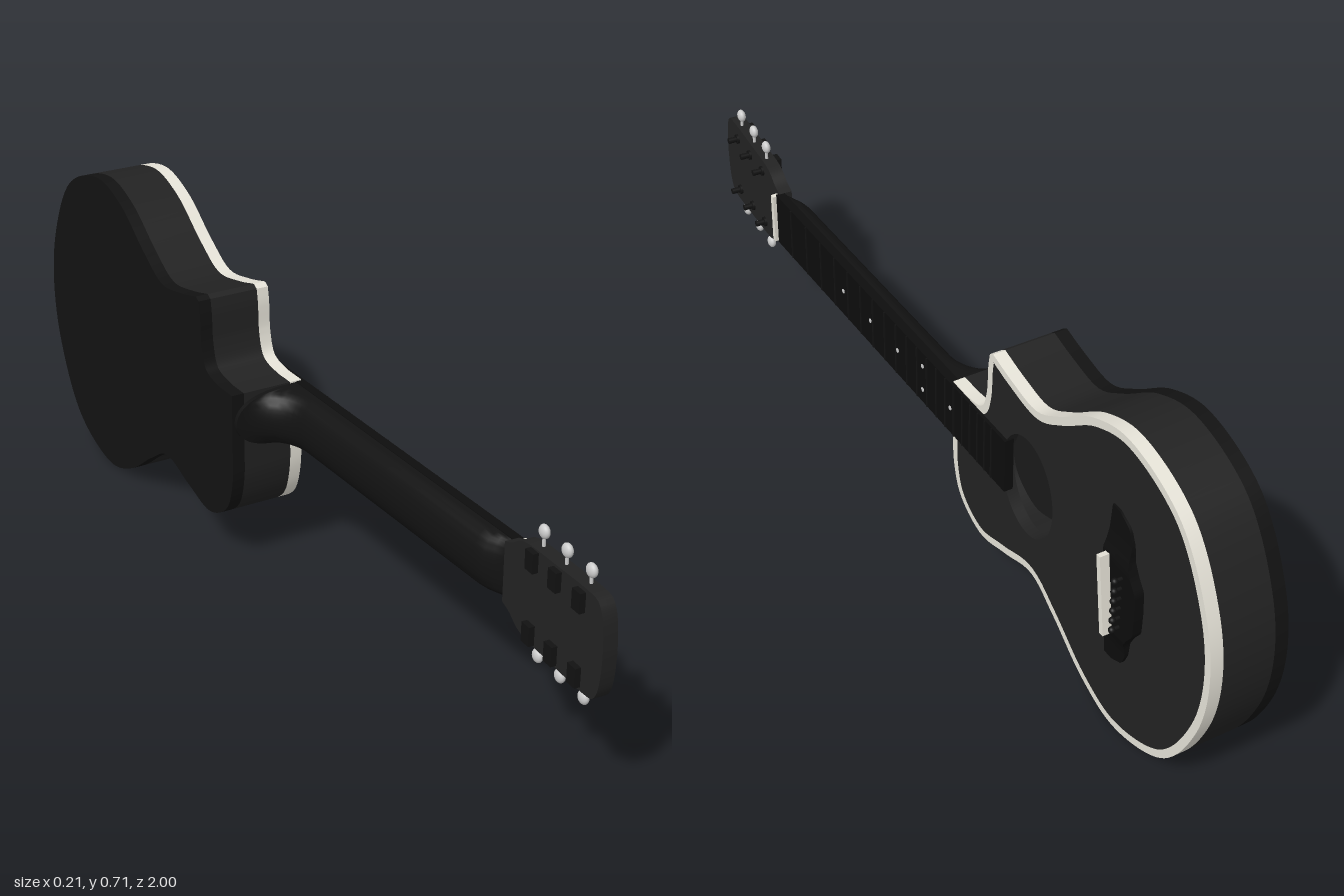
import * as THREE from 'three';
import { toCreasedNormals } from 'three/addons/utils/BufferGeometryUtils.js';

const MID = 0.355; // height of the centre line
const mat = (color, side = THREE.FrontSide) => new THREE.MeshStandardMaterial({ color, side });
const black = mat(0x222222), trim = mat(0x121212), ebony = mat(0x0d0d0d);
const inside = mat(0x1a1a1a), ivory = mat(0xe6e3d8), metal = mat(0xdddddd);

function add(parent, name, geometry, material, x = 0, y = 0, z = 0) {
  const mesh = new THREE.Mesh(geometry, material);
  mesh.name = name;
  mesh.position.set(x, y, z);
  parent.add(mesh);
  return mesh;
}

// Sampled smooth curve through [u, y] points, where u runs towards the tail (-z)
function spline(points, n) {
  const curve = new THREE.CatmullRomCurve3(points.map(([u, y]) => new THREE.Vector3(u, y, 0)), false, 'centripetal');
  return curve.getSpacedPoints(n).map(p => new THREE.Vector2(p.x, p.y));
}

// Moves a counter-clockwise outline inwards
function inset(points, d) {
  const n = points.length;
  return points.map((p, i) => {
    const t = points[(i + 1) % n].clone().sub(points[(i + n - 1) % n]).normalize();
    return new THREE.Vector2(p.x - t.y * d, p.y + t.x * d);
  });
}

// Slab with its outline in the side plane, from x0 to x1
function slab(outline, x0, x1, hole) {
  const shape = new THREE.Shape(outline);
  if (hole) shape.holes.push(new THREE.Path(hole));
  const g = new THREE.ExtrudeGeometry(shape, { depth: x1 - x0, bevelEnabled: false, curveSegments: 32 });
  g.translate(0, 0, x0);
  g.rotateY(Math.PI / 2);
  return toCreasedNormals(g, 0.6);
}

// Linear lookup in rows of [key, value]
function lookup(rows, k) {
  for (let i = 1; i < rows.length; i++) {
    const [a, va] = rows[i - 1], [b, vb] = rows[i];
    if (k <= b) return va + (vb - va) * Math.max(0, (k - a) / (b - a));
  }
  return rows[rows.length - 1][1];
}

function buildBody(root) {
  const lower = spline([[0.11, 0.42], [0.11, 0.30], [0.113, 0.215], [0.14, 0.145], [0.22, 0.102], [0.316, 0.123],
    [0.42, 0.15], [0.50, 0.107], [0.61, 0.032], [0.72, 0], [0.88, 0.06], [0.975, 0.214], [1.0, MID],
    [0.975, 0.492], [0.88, 0.645], [0.72, 0.705], [0.61, 0.677], [0.50, 0.602], [0.42, 0.56], [0.33, 0.57], [0.262, 0.587]], 150);
  const cutaway = spline([[0.25, 0.58], [0.245, 0.55], [0.24, 0.48], [0.222, 0.435], [0.17, 0.421], [0.125, 0.42]], 30);
  const outline = [...lower, ...cutaway];
  const inner = inset(outline, 0.017);
  const hole = new THREE.EllipseCurve(0.395, MID, 0.092, 0.115).getPoints(48).slice(0, -1);

  add(root, 'backPanel', slab(outline, -0.105, -0.077), trim);
  add(root, 'bodySides', slab(outline, -0.077, 0.033, inner), black);
  add(root, 'binding', slab(outline, 0.033, 0.06, inner), ivory);
  add(root, 'soundboard', slab(inner, 0.035, 0.06, hole), black);
  add(root, 'soundHoleFloor', slab(inner, -0.077, -0.07), inside);
}

function buildNeck(root) {
  // Rounded neck with a concave heel: rows of [z, back x]
  const rows = [[-0.125, -0.1], [-0.105, -0.1]];
  for (let i = 0; i <= 10; i++) {
    const a = (i / 10) * Math.PI / 2;
    rows.push([-0.1 + 0.09 * (1 - Math.cos(a)), -0.1 + 0.1 * Math.sin(a)]);
  }
  rows.push([0.3, 0.002], [0.61, 0.004], [0.635, 0.009], [0.652, 0.02], [0.668, 0.032], [0.69, 0.036]);
  const N = 20, front = 0.055, pos = [], idx = [];
  rows.forEach(([z, back]) => {
    for (let i = 0; i <= N; i++) {
      const t = Math.PI * i / N;
      pos.push(front - (front - back) * Math.pow(Math.sin(t), 0.6), MID + 0.062 * Math.cos(t), z);
    }
  });
  const R = N + 1;
  for (let s = 0; s < rows.length - 1; s++) {
    for (let i = 0; i < R; i++) {
      const a = s * R + i, b = s * R + (i + 1) % R;
      idx.push(a, b, b + R, a, b + R, a + R);
    }
  }
  const last = (rows.length - 1) * R;
  for (let i = 1; i < N; i++) idx.push(last, last + i, last + i + 1, 0, i + 1, i);
  const g = new THREE.BufferGeometry();
  g.setAttribute('position', new THREE.Float32BufferAttribute(pos, 3));
  g.setIndex(idx);
  add(root, 'neck', toCreasedNormals(g, 0.7), trim);

  // Fingerboard, nut, frets and position dots
  add(root, 'fingerboard', new THREE.BoxGeometry(0.02, 0.126, 1.0), ebony, 0.057, MID, 0.178);
  add(root, 'nut', new THREE.BoxGeometry(0.03, 0.118, 0.012), ivory, 0.06, MID, 0.682);
  for (let i = 1; i <= 20; i++) {
    const z = 0.68 - 1.39 * (1 - Math.pow(2, -i / 12));
    add(root, 'fret', new THREE.BoxGeometry(0.003, 0.124, 0.004), trim, 0.0675, MID, z);
  }
  const dot = new THREE.CylinderGeometry(0.005, 0.005, 0.002, 12).rotateZ(Math.PI / 2);
  for (const [z, dy] of [[0.353, 0], [0.23, 0], [0.11, 0], [0.003, 0.03], [0.003, -0.03], [-0.11, 0]])
    add(root, 'positionDot', dot, metal, 0.0675, MID + dy, z);
}

function buildHead(root) {
  const head = new THREE.Group();
  head.name = 'headstock';
  head.position.set(0.06, MID, 0.675);
  head.rotation.y = -0.07;
  root.add(head);

  // Half outline as [distance from nut, half width], mirrored
  const half = [[0, 0.063], [0.025, 0.072], [0.05, 0.089], [0.075, 0.096], [0.16, 0.1], [0.28, 0.102],
    [0.302, 0.098], [0.315, 0.08], [0.323, 0.045], [0.326, 0]];
  const side = spline(half, 40);
  const outline = [...side.map(p => new THREE.Vector2(-p.x, p.y)),
    ...side.slice(0, -1).reverse().map(p => new THREE.Vector2(-p.x, -p.y))];
  add(head, 'headstockPlate', slab(outline, -0.03, 0), black);

  const post = new THREE.CylinderGeometry(0.006, 0.007, 0.028, 16).rotateZ(Math.PI / 2);
  const washer = new THREE.CylinderGeometry(0.011, 0.011, 0.006, 20).rotateZ(Math.PI / 2);
  const housing = new THREE.BoxGeometry(0.014, 0.04, 0.026);
  const shaft = new THREE.CylinderGeometry(0.0035, 0.0035, 0.06, 10);
  const button = new THREE.SphereGeometry(0.014, 20, 14).scale(0.65, 1, 1);
  for (const s of [1, -1]) {
    for (const z of [0.1, 0.175, 0.252]) {
      add(head, 'tuningPost', post, trim, 0.01, s * 0.069, z);
      add(head, 'postWasher', washer, trim, 0.002, s * 0.069, z);
      add(head, 'tunerHousing', housing, trim, -0.035, s * 0.075, z);
      add(head, 'tunerShaft', shaft, metal, -0.012, s * 0.098, z);
      add(head, 'tunerButton', button, metal, -0.012, s * 0.128, z);
    }
  }
}

function buildBridge(root) {
  // Box bent into a bridge: thickness and tail edge depend on distance from the centre
  const thickness = [[0, 0.02], [0.09, 0.02], [0.105, 0.014], [0.13, 0.008], [0.182, 0.004]];
  const tail = [[0, 0.795], [0.05, 0.793], [0.075, 0.775], [0.1, 0.762], [0.135, 0.758], [0.165, 0.745], [0.182, 0.71]];
  const g = new THREE.BoxGeometry(1, 0.364, 1, 1, 48, 1);
  const p = g.attributes.position;
  for (let i = 0; i < p.count; i++) {
    const d = Math.abs(p.getY(i));
    p.setX(i, p.getX(i) > 0 ? 0.06 + lookup(thickness, d) : 0.055);
    p.setZ(i, p.getZ(i) > 0 ? -0.687 : -lookup(tail, d));
  }
  add(root, 'bridge', toCreasedNormals(g.toNonIndexed(), 0.6), ebony, 0, MID, 0);

  const saddle = add(root, 'saddle', new THREE.BoxGeometry(0.025, 0.178, 0.012), ivory, 0.0875, 0.352, -0.713);
  saddle.rotation.x = 0.13;
  const pin = new THREE.SphereGeometry(0.007, 14, 10);
  const stem = new THREE.CylinderGeometry(0.004, 0.004, 0.016, 10).rotateZ(Math.PI / 2);
  for (let i = 0; i < 6; i++) {
    const y = MID + (i - 2.5) * 0.024;
    add(root, 'bridgePinStem', stem, trim, 0.086, y, -0.75);
    add(root, 'bridgePin', pin, trim, 0.095, y, -0.75);
  }
}

export function createModel() {
  const root = new THREE.Group();
  root.name = 'guitar';
  buildBody(root);
  buildNeck(root);
  buildHead(root);
  buildBridge(root);
  return root;
}
